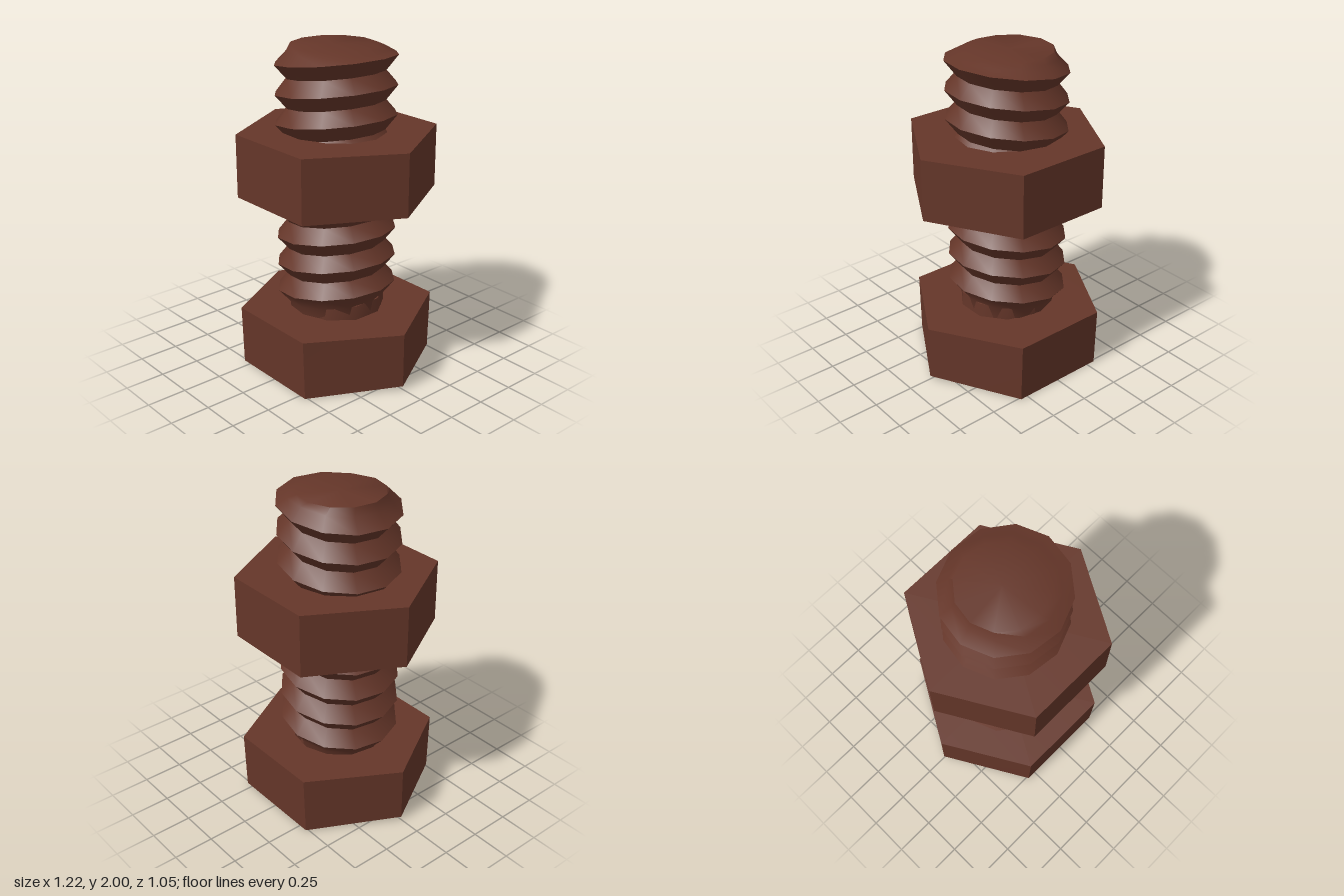
import * as THREE from 'three';
import { toCreasedNormals } from 'three/addons/utils/BufferGeometryUtils.js';

const rust = new THREE.MeshStandardMaterial({ color: 0x653629 });
rust.name = 'rusty brown';

// Applies rule(x, y, z) -> [x, y, z] to every vertex
function reshape(geometry, rule) {
  const p = geometry.attributes.position;
  for (let i = 0; i < p.count; i++) p.setXYZ(i, ...rule(p.getX(i), p.getY(i), p.getZ(i)));
  return geometry;
}

function addMesh(group, name, geometry, crease) {
  const mesh = new THREE.Mesh(toCreasedNormals(geometry, crease), rust);
  mesh.name = name;
  group.add(mesh);
}

// Hexagonal block with corners on the x axis
function hexBlock(bottom, top) {
  const g = new THREE.CylinderGeometry(0.605, 0.605, top - bottom, 6, 1, false, Math.PI / 6);
  return g.translate(0, (top + bottom) / 2, 0);
}

export function createModel() {
  const model = new THREE.Group();

  // Threaded shaft: V-shaped ridges, each slanting up towards +x
  const pitch = 0.1765, first = 0.508, ridges = 9, valley = 0.295, crest = 0.368;
  const profile = [new THREE.Vector2(0.285, 0.3)];
  for (let i = 0; i < ridges; i++) {
    const y = first + i * pitch;
    profile.push(new THREE.Vector2(valley, y - pitch / 2), new THREE.Vector2(crest, y));
  }
  profile.push(new THREE.Vector2(0.3, 1.985), new THREE.Vector2(0.26, 2), new THREE.Vector2(0, 2));
  const shaft = reshape(new THREE.LatheGeometry(profile, 12, 0.1), (x, y, z) => {
    if (y > 1.99) return [x - 0.035, 2, z];
    const slanted = y + 0.135 * x;
    return [x - 0.015, y > 1.95 ? Math.min(slanted, 1.98) : slanted, z];
  });
  addMesh(model, 'threadedShaft', shaft, 0.9);

  // Plain collar where the shaft meets the head
  const collar = new THREE.CylinderGeometry(0.285, 0.29, 0.16, 10);
  addMesh(model, 'collar', collar.translate(0, 0.38, 0), 0.7);

  // Head, with slightly worn corners
  const head = reshape(hexBlock(0, 0.375), (x, y, z) => {
    const side = Math.abs(x) > 0.5;
    if (y < 0.1) return [x - 0.005, side ? 0.022 : 0, z * 0.98];
    return [x - 0.005, side ? 0.367 : y, z];
  });
  addMesh(model, 'head', head, 0.3);

  // Nut
  const nut = reshape(hexBlock(1.108, 1.497), (x, y, z) =>
    [x, Math.abs(x) > 0.5 ? 1.3025 + (y - 1.3025) * 0.98 : y, z]);
  addMesh(model, 'nut', nut, 0.3);

  return model;
}
